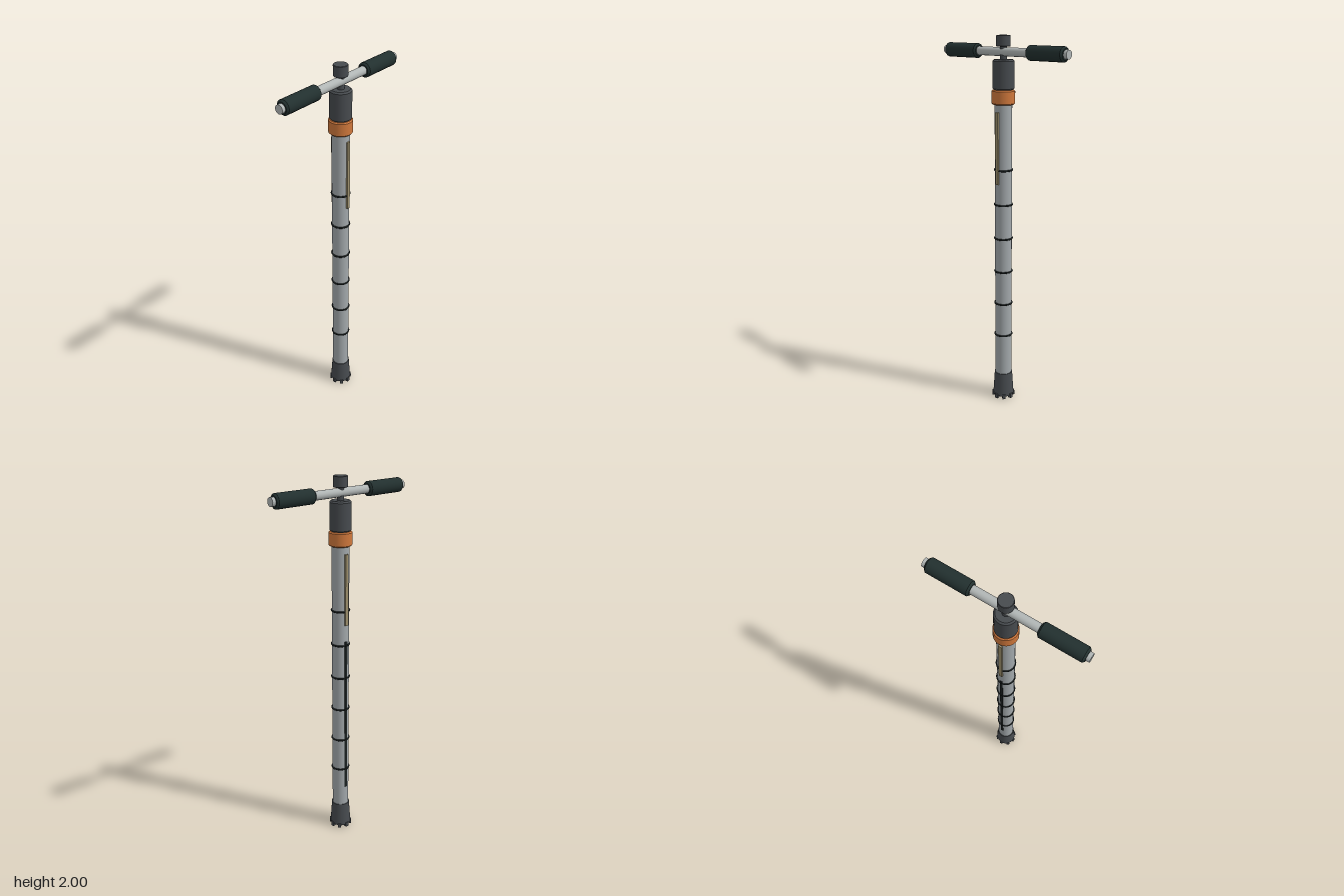
import * as THREE from 'three';

const mat = (name, color) => {
  const m = new THREE.MeshStandardMaterial({ color });
  m.name = name;
  return m;
};

// Solid of revolution with sharp edges: each profile segment is its own smooth band.
function turned(profile, segments = 32) {
  const pts = [];
  profile.forEach(([r, y], i) => {
    pts.push(new THREE.Vector2(r, y));
    // doubled points, a hair apart, keep the edge crisp
    if (i > 0 && i < profile.length - 1) {
      const [r2, y2] = profile[i + 1];
      pts.push(new THREE.Vector2(r + (r2 - r) * 0.002, y + (y2 - y) * 0.002));
    }
  });
  return new THREE.LatheGeometry(pts, segments);
}

// Closed cylinder with chamfered rims
const chamfered = (r, y0, y1, c) => turned([
  [0, y0], [r - c, y0], [r, y0 + c], [r, y1 - c], [r - c, y1], [0, y1],
]);

export function createModel() {
  const steel = mat('tube steel', 0xa3a9ac);
  const bright = mat('handle steel', 0xb2b7b6);
  const iron = mat('dark iron', 0x474b4f);
  const rubber = mat('grip rubber', 0x22302f);
  const black = mat('black marking', 0x1a2020);
  const orange = mat('orange collar', 0xd0783c);
  const brass = mat('brass strip', 0x9c8f6c);

  const model = new THREE.Group();
  const add = (name, geometry, material, x = 0, y = 0, z = 0) => {
    const mesh = new THREE.Mesh(geometry, material);
    mesh.name = name;
    mesh.position.set(x, y, z);
    model.add(mesh);
    return mesh;
  };

  // Long sampling tube
  add('tube', new THREE.CylinderGeometry(0.045, 0.045, 1.54, 32), steel, 0, 0.91, 0);

  // Depth rings
  for (let i = 0; i < 6; i++) {
    const ring = add('depthRing', new THREE.TorusGeometry(0.046, 0.005, 8, 32), black, 0, 0.384 + i * 0.187, 0);
    ring.rotation.x = Math.PI / 2;
  }

  // Brass strips on front and back, dark slot down the back
  for (const s of [1, -1]) {
    add('brassStrip', new THREE.BoxGeometry(0.018, 0.375, 0.012), brass, 0, 1.433, s * 0.047);
  }
  add('backSlot', new THREE.BoxGeometry(0.016, 0.89, 0.008), black, 0, 0.71, -0.043);

  // Flared cutting shoe, hollow at the mouth
  add('cuttingShoe', turned([
    [0, 0.08], [0.038, 0.08], [0.046, 0.014], [0.057, 0.014], [0.057, 0.026], [0.049, 0.15], [0, 0.15],
  ]), iron);
  for (let i = 0; i < 8; i++) {
    const a = i * Math.PI / 4;
    const tooth = add('tooth', new THREE.BoxGeometry(0.018, 0.026, 0.018), iron,
      Math.sin(a) * 0.053, 0.013, Math.cos(a) * 0.053);
    tooth.rotation.y = a;
  }

  // Collar, head and cap
  add('collar', chamfered(0.06, 1.658, 1.732, 0.006), orange);
  add('head', chamfered(0.055, 1.73, 1.882, 0.008), iron);
  add('neck', new THREE.CylinderGeometry(0.018, 0.018, 0.08, 24), iron, 0, 1.915, 0);
  add('cap', chamfered(0.036, 1.945, 2, 0.002), iron);

  // Cross handle with two grips
  const bar = add('handleBar', new THREE.CylinderGeometry(0.022, 0.022, 0.824, 24), bright, 0, 1.919, 0);
  bar.rotation.z = Math.PI / 2;
  for (const s of [1, -1]) {
    const grip = add('grip', chamfered(0.037, -0.113, 0.113, 0.009), rubber, s * 0.281, 1.919, 0);
    grip.rotation.z = Math.PI / 2;
  }
  return model;
}
